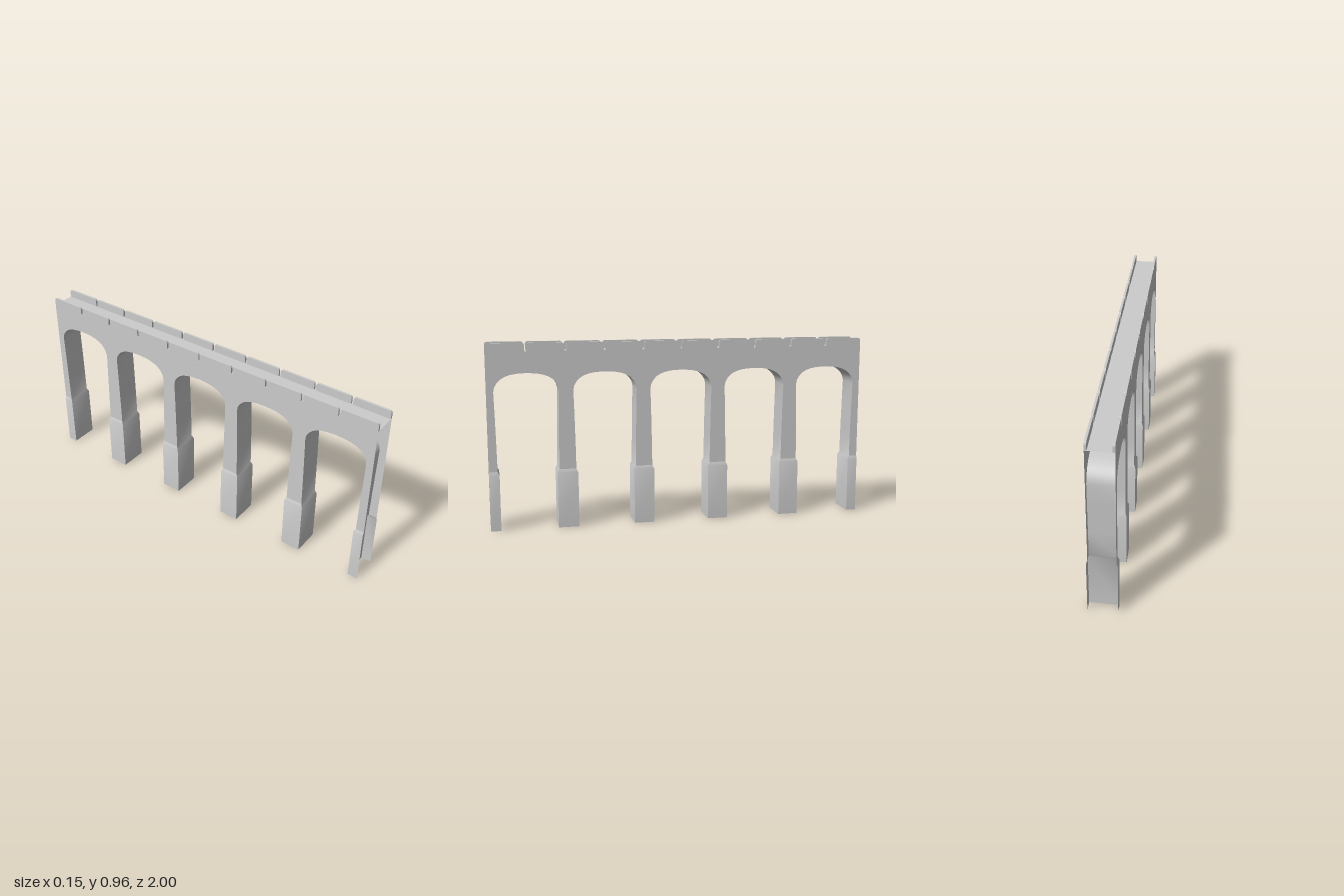
import * as THREE from 'three';
import { toCreasedNormals } from 'three/addons/utils/BufferGeometryUtils.js';

const ARCHES = 5, SPAN = 0.4, WALL_X = 0.066, BASE_X = 0.073;
const DECK_Y = 0.918, TOP_Y = 0.96;

// Half-pier profile: [distance from pier centre, height, half width in x]
const BASE = [[0.053, 0, BASE_X], [0.053, 0.289, BASE_X], [0.044, 0.308, WALL_X]];
const SHAFT = [[0.042, 0.45, WALL_X], [0.039, 0.6, WALL_X], [0.036, 0.715, WALL_X]];
const CURVE = [[0.041, 0.74], [0.053, 0.76], [0.07, 0.778], [0.092, 0.791],
  [0.118, 0.8], [0.15, 0.806], [0.2, 0.809]].map(([d, y]) => [d, y, WALL_X]);
const HALF = [...BASE, ...SHAFT, ...CURVE];

const material = new THREE.MeshStandardMaterial({ color: 0xcccccc, side: THREE.DoubleSide });

// Strip of quads between two matching rails of [x, y, z] points
function strip(railA, railB) {
  const pos = [];
  for (let i = 0; i < railA.length - 1; i++) {
    const [a, b, c, d] = [railA[i], railB[i], railB[i + 1], railA[i + 1]];
    pos.push(...a, ...b, ...c, ...a, ...c, ...d);
  }
  const g = new THREE.BufferGeometry();
  g.setAttribute('position', new THREE.Float32BufferAttribute(pos, 3));
  return toCreasedNormals(g, 0.45);
}

function add(group, name, geometry) {
  const mesh = new THREE.Mesh(geometry, material);
  mesh.name = name;
  group.add(mesh);
  return mesh;
}

// Full opening outline from one pier foot over the crown to the next, as [z, y, halfX]
function opening(start, half) {
  const rise = half.map(([d, y, x]) => [start + d, y, x]);
  const fall = half.slice(0, -1).reverse().map(([d, y, x]) => [start + SPAN - d, y, x]);
  return [...rise, ...fall];
}

export function createModel() {
  const group = new THREE.Group();
  group.name = 'viaduct';

  // Spandrel wall outline above the pier bases, drawn in (z, y)
  const wall = new THREE.Shape();
  wall.moveTo(-1, DECK_Y);
  wall.lineTo(-1, BASE[2][1]);
  for (let i = 0; i < ARCHES; i++) {
    for (const [z, y] of opening(-1 + i * SPAN, HALF.slice(2))) wall.lineTo(z, y);
  }
  wall.lineTo(1, BASE[2][1]);
  wall.lineTo(1, DECK_Y);
  wall.closePath();

  for (const side of [-1, 1]) {
    const label = side > 0 ? 'left' : 'right';
    // Mirror in z on the left side so that both walls face outward
    const wallGeo = new THREE.ShapeGeometry(wall);
    wallGeo.rotateY(side * Math.PI / 2).translate(side * WALL_X, 0, 0);
    add(group, label + 'Wall', wallGeo);

    // Parapet stones with chamfered top corners
    for (let i = 0; i < 10; i++) {
      const z0 = -1 + i * 0.2 + (i ? 0.005 : 0);
      const z1 = -0.8 + i * 0.2 - (i < 9 ? 0.005 : 0);
      const stone = new THREE.Shape([[z0, DECK_Y], [z1, DECK_Y], [z1, TOP_Y - 0.011],
        [z1 - 0.004, TOP_Y - 0.003], [z1 - 0.011, TOP_Y], [z0 + 0.011, TOP_Y],
        [z0 + 0.004, TOP_Y - 0.003], [z0, TOP_Y - 0.011]].map(p => new THREE.Vector2(...p)));
      const geo = new THREE.ExtrudeGeometry(stone, { depth: 0.011, bevelEnabled: false });
      // Extrusion runs along x; shape x becomes -z
      geo.rotateY(Math.PI / 2).scale(1, 1, 1);
      geo.translate(side > 0 ? WALL_X - 0.011 : -WALL_X, 0, 0);
      add(group, label + 'ParapetStone', geo);
    }

    // Outer faces of the wider pier bases, halved at both ends
    for (let i = 0; i <= ARCHES; i++) {
      const c = -1 + i * SPAN;
      const near = BASE.map(([d, y, x]) => [side * x, y, Math.min(1, c + d)]);
      const far = BASE.map(([d, y, x]) => [side * x, y, Math.max(-1, c - d)]);
      add(group, label + 'PierBase', side > 0 ? strip(near, far) : strip(far, near));
    }
  }

  // Pier faces and arch undersides, one continuous band per opening
  for (let i = 0; i < ARCHES; i++) {
    const path = opening(-1 + i * SPAN, HALF);
    add(group, 'archBand', strip(
      path.map(([z, y, x]) => [-x, y, z]),
      path.map(([z, y, x]) => [x, y, z])));
  }

  // Flat deck between the parapets
  const deck = new THREE.PlaneGeometry(WALL_X * 2, 2).rotateX(-Math.PI / 2);
  add(group, 'deck', deck.translate(0, DECK_Y, 0));
  return group;
}
